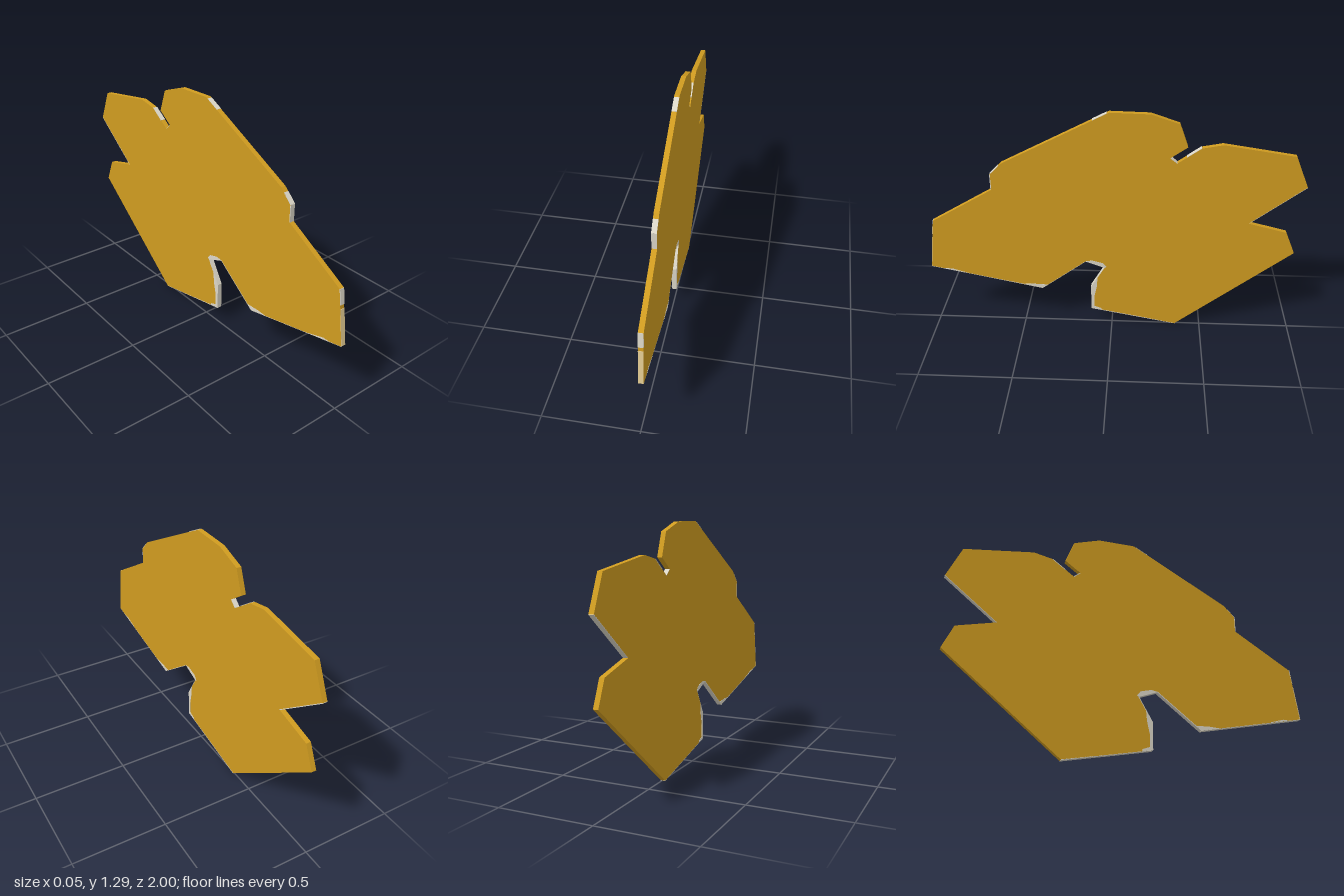
import * as THREE from 'three';

const THICK = 0.026;

// Plate outline as [z, y], starting at the lower front corner
const OUTLINE = [
  [1, 0.37], [0.96, 0.66], [0.63, 0.855], [0.63, 0.945], [0.565, 1.01], [0.015, 1.294],
  [-0.19, 1.288], [-0.335, 1.238], [-0.38, 1.115], [-0.295, 1.055], [-0.33, 1.025],
  [-0.45, 1.11], [-0.555, 1.13], [-0.925, 1.072], [-1, 0.9], [-0.72, 0.68],
  [-0.925, 0.627], [-0.98, 0.5], [-0.36, 0.003], [0.115, 0.1], [0.115, 0.25],
  [0.04, 0.38], [0.145, 0.42], [0.39, 0.235],
];

// Extrudes a [z, y] outline across x, centred on x = 0
function slab(points, thickness) {
  const shape = new THREE.Shape(points.map(([z, y]) => new THREE.Vector2(z, y)));
  const geometry = new THREE.ExtrudeGeometry(shape, { depth: thickness, bevelEnabled: false });
  geometry.translate(0, 0, -thickness / 2);
  geometry.rotateY(-Math.PI / 2);
  return geometry;
}

export function createModel() {
  const gold = new THREE.MeshStandardMaterial({ name: 'gold', color: 0xd09c20 });
  const pale = new THREE.MeshStandardMaterial({ name: 'pale stone', color: 0xdcd7c8 });
  const cream = new THREE.MeshStandardMaterial({ name: 'cream', color: 0xe3cb92 });

  const model = new THREE.Group();
  model.name = 'cutoutPlate';
  const add = (name, geometry, material) => {
    const mesh = new THREE.Mesh(geometry, material);
    mesh.name = name;
    model.add(mesh);
  };

  add('plate', slab(OUTLINE, THICK), gold);

  // Thin facing along part of an outline edge, from fraction a to b
  function edgeStrip(index, a, b, material) {
    const p = new THREE.Vector2(...OUTLINE[index]);
    const q = new THREE.Vector2(...OUTLINE[(index + 1) % OUTLINE.length]);
    const start = p.clone().lerp(q, a);
    const end = p.clone().lerp(q, b);
    const geometry = new THREE.BoxGeometry(THICK, 0.004, start.distanceTo(end));
    geometry.rotateX(-Math.atan2(end.y - start.y, end.x - start.x));
    geometry.translate(0, (start.y + end.y) / 2, (start.x + end.x) / 2);
    add('edgeFacing', geometry, material);
  }
  [
    [0, 0, 0.65, cream], [0, 0.72, 1, pale], [2, 0, 1, pale], [3, 0, 0.7, pale],
    [4, 0.85, 0.98, pale], [9, 0, 1, pale], [10, 0.4, 1, pale],
    [14, 0, 1, pale], [18, 0, 1, pale], [19, 0, 1, pale], [20, 0, 1, pale],
    [21, 0, 1, pale], [22, 0, 1, pale], [23, 0, 1, pale],
  ].forEach((strip) => edgeStrip(...strip));

  // Worn patches reaching onto both faces
  [
    [[0.93, 0.355], [0.89, 0.355], [0.8, 0.327]],
    [[0.5, 0.259], [0.44, 0.262], [0.36, 0.258], [0.39, 0.235]],
    [[0.145, 0.42], [0.11, 0.426], [0.05, 0.41], [0.03, 0.385], [0.04, 0.38]],
    [[0.115, 0.1], [0.115, 0.25], [0.08, 0.31], [0.085, 0.25], [0.1, 0.18], [0.1, 0.115], [0.06, 0.1], [0.06, 0.089]],
  ].forEach((points) => add('wornPatch', slab(points, THICK + 0.002), pale));

  // The plate stands very slightly turned
  model.rotation.y = 0.0125;
  return model;
}
